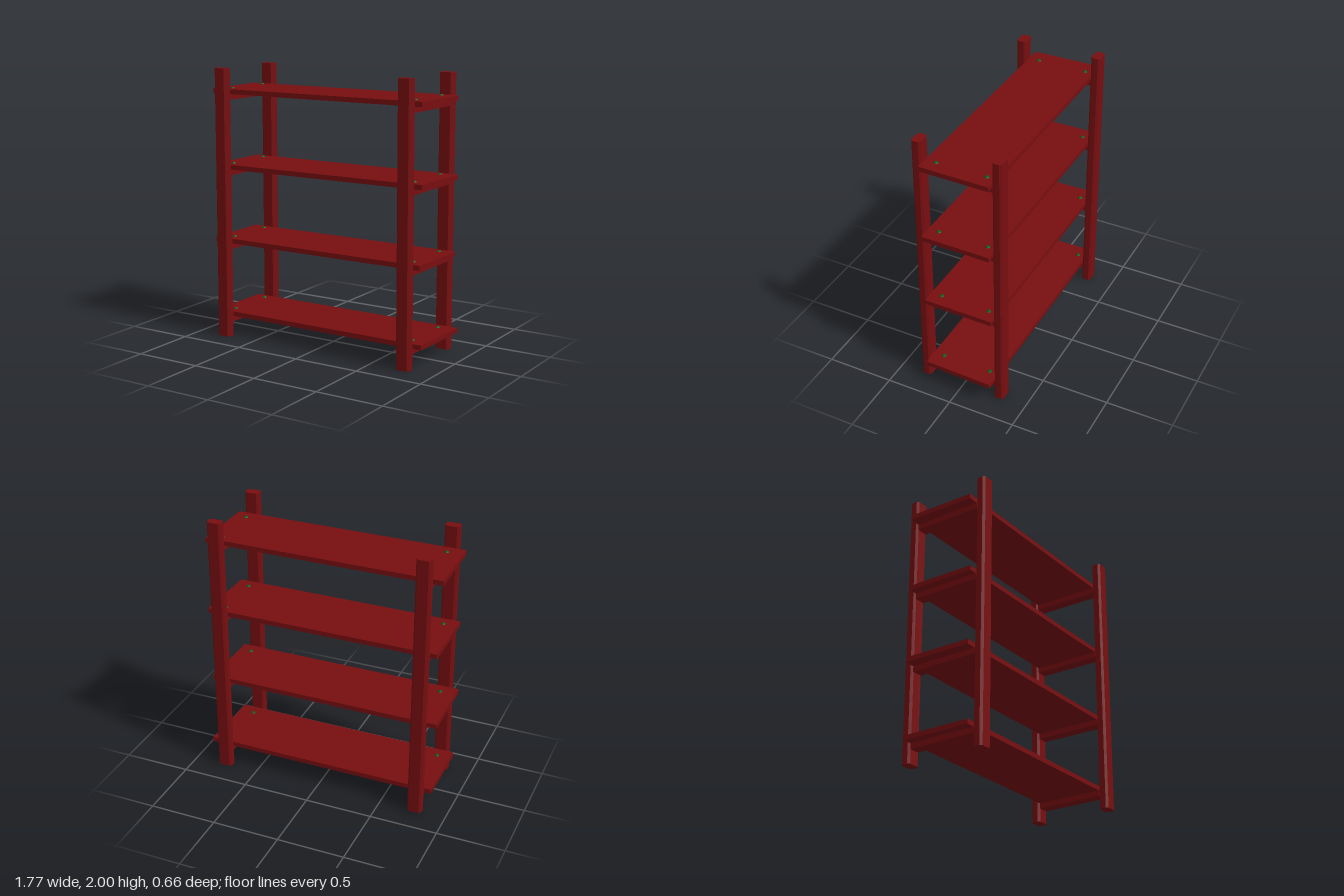
import * as THREE from 'three';

export function createModel() {
  const root = new THREE.Group();
  const wood = new THREE.MeshStandardMaterial({ color: 0x780e10, flatShading: true });
  wood.name = 'dark red wood';
  const green = new THREE.MeshStandardMaterial({ color: 0x0d5a14, flatShading: true });
  green.name = 'green nail';

  const add = (geometry, material, name, x, y, z, parent = root) => {
    const mesh = new THREE.Mesh(geometry, material);
    mesh.name = name;
    mesh.position.set(x, y, z);
    parent.add(mesh);
    return mesh;
  };

  // Upright extrusion of a plan outline given as [x, z] points
  const prism = (points, height) => {
    const shape = new THREE.Shape(points.map(([x, z]) => new THREE.Vector2(x, -z)));
    return new THREE.ExtrudeGeometry(shape, { depth: height, bevelEnabled: false }).rotateX(-Math.PI / 2);
  };

  // Posts with chamfered corners, leaning very slightly
  const w = 0.053, d = 0.035, c = 0.015;
  const outline = [[-w + c, d], [w - c, d], [w, d - c], [w, -d + c],
    [w - c, -d], [-w + c, -d], [-w, -d + c], [-w, d - c]];
  const posts = [
    ['frontLeftPost', 0.757, 0.295, -0.006], ['backLeftPost', 0.757, -0.293, 0],
    ['frontRightPost', -0.768, 0.295, 0.002], ['backRightPost', -0.768, -0.293, -0.002],
  ];
  for (const [name, x, z, lean] of posts) {
    const geometry = prism(outline, 2);
    const p = geometry.attributes.position;
    for (let i = 0; i < p.count; i++) p.setX(i, p.getX(i) + lean * (p.getY(i) / 2 - 0.5));
    geometry.computeVertexNormals();
    add(geometry, wood, name, x, 0, z);
  }

  // Shelves: top height, then x of the right and left ends at the back and front
  const shelves = [
    [0.178, -0.870, 0.885, 0.868, -0.868],
    [0.735, -0.888, 0.855, 0.850, -0.880],
    [1.290, -0.870, 0.865, 0.858, -0.866],
    [1.845, -0.890, 0.858, 0.850, -0.882],
  ];
  const nail = new THREE.CylinderGeometry(0.011, 0.017, 0.008, 8);
  for (const [top, rightBack, leftBack, leftFront, rightFront] of shelves) {
    const shelf = new THREE.Group();
    shelf.name = 'shelf';
    shelf.position.y = top;
    root.add(shelf);
    const plan = [[rightFront, 0.255], [leftFront, 0.255], [leftBack, -0.26], [rightBack, -0.26]];
    add(prism(plan, 0.035), wood, 'shelfBoard', 0, -0.035, 0, shelf);

    // Cross beam and nails at each end
    for (const x of [-0.768, 0.757]) {
      add(new THREE.BoxGeometry(0.08, 0.042, 0.52), wood, 'crossBeam', x, -0.056, 0, shelf);
      for (const z of [-0.197, 0.173]) add(nail, green, 'nail', x, 0.004, z, shelf);
    }
  }
  return root;
}
